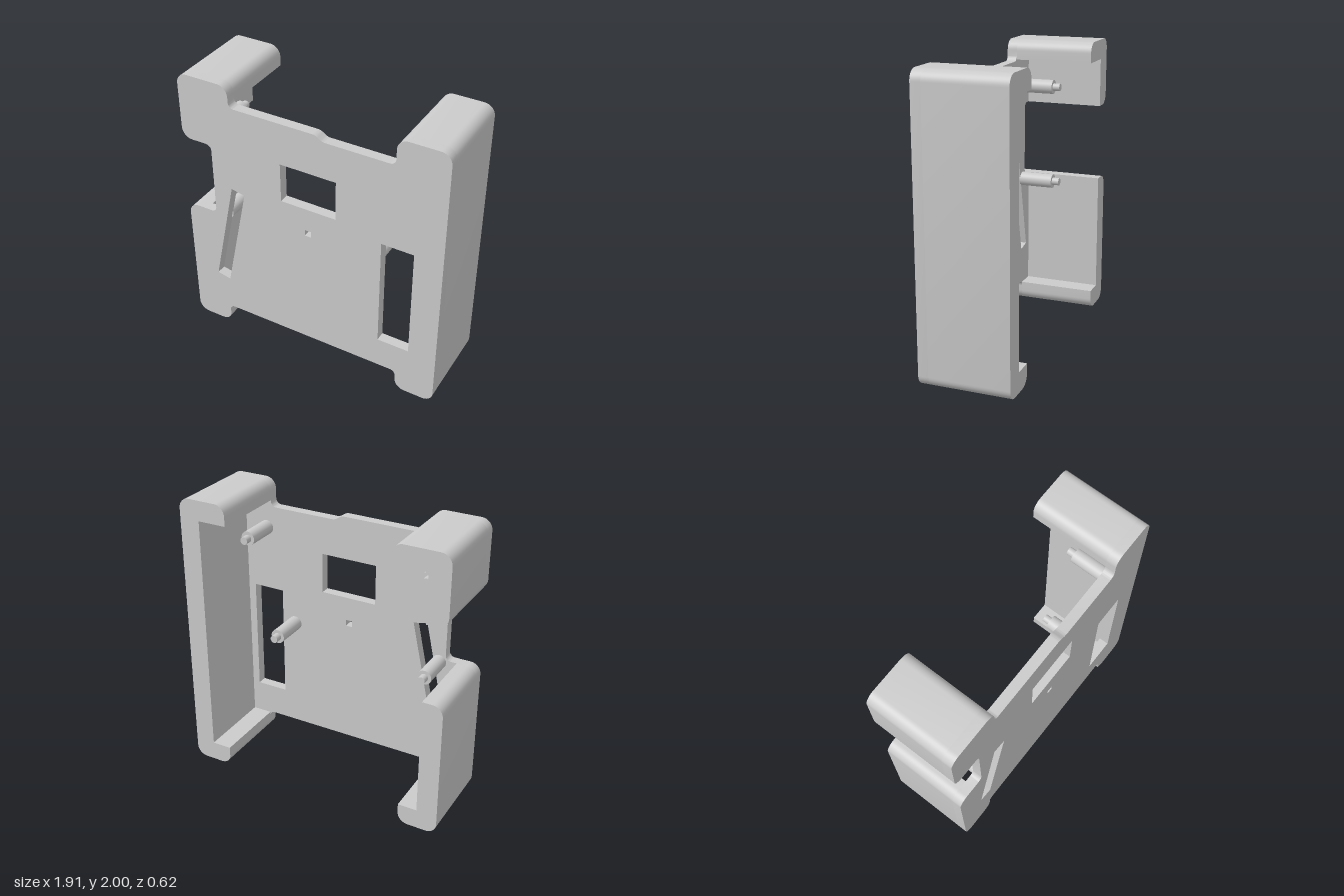
import * as THREE from 'three';
import { toCreasedNormals } from 'three/addons/utils/BufferGeometryUtils.js';

const material = new THREE.MeshStandardMaterial({ color: 0xcccccc });
const BACK = -0.31, PLATE = 0.24, FRONT = 0.31;

// Closed outline from [x, y, cornerRadius] points
function roundedPath(points, PathType = THREE.Shape) {
  const path = new PathType();
  const n = points.length;
  const k = 0.4477; // control point offset for a circular corner
  points.forEach(([x, y, r = 0], i) => {
    const p = new THREE.Vector2(x, y);
    const towards = (j) => new THREE.Vector2(points[j][0], points[j][1]).sub(p).normalize();
    const a = towards((i + n - 1) % n), b = towards((i + 1) % n);
    const start = p.clone().addScaledVector(a, r), end = p.clone().addScaledVector(b, r);
    if (i === 0) path.moveTo(start.x, start.y);
    else path.lineTo(start.x, start.y);
    if (r > 0) {
      const c1 = p.clone().addScaledVector(a, r * k), c2 = p.clone().addScaledVector(b, r * k);
      path.bezierCurveTo(c1.x, c1.y, c2.x, c2.y, end.x, end.y);
    }
  });
  path.closePath();
  return path;
}

function extrude(name, shape, z0, z1) {
  const geometry = new THREE.ExtrudeGeometry(shape, { depth: z1 - z0, bevelEnabled: false, curveSegments: 10 });
  geometry.translate(0, 0, z0);
  const mesh = new THREE.Mesh(toCreasedNormals(geometry, 0.5), material);
  mesh.name = name;
  return mesh;
}

// Mounting post: thick body with a thin locating pin
function post(name, x, y) {
  const group = new THREE.Group();
  group.name = name;
  for (const [part, r, z0, z1] of [['postBody', 0.05, 0, PLATE + 0.005], ['postPin', 0.027, -0.05, 0.01]]) {
    const geometry = new THREE.CylinderGeometry(r, r, z1 - z0, 32).rotateX(Math.PI / 2);
    const mesh = new THREE.Mesh(geometry, material);
    mesh.name = part;
    mesh.position.set(x, y, (z0 + z1) / 2);
    group.add(mesh);
  }
  return group;
}

export function createModel() {
  const model = new THREE.Group();
  model.name = 'mountingCase';
  const R = 0.075, F = 0.04; // outer corner and inner fillet radii

  // Front plate with its cut-outs
  const plate = roundedPath([
    [-0.955, 0, R], [-0.675, 0, R], [-0.675, 0.15, F], [0.67, 0.15, F], [0.67, 0, R], [0.955, 0, R],
    [0.955, 2, R], [0.607, 2, R], [0.607, 1.815, F], [0.11, 1.815, 0.02], [0.06, 1.85, 0.02],
    [-0.57, 1.85, F], [-0.57, 2, R], [-0.955, 2, R], [-0.955, 1.52, R], [-0.73, 1.52, F],
    [-0.73, 0.98, F], [-0.955, 0.98, R],
  ]);
  const rect = (x0, y0, x1, y1) => [[x0, y0], [x0, y1], [x1, y1], [x1, y0]];
  const cutouts = [
    rect(-0.2, 1.265, 0.205, 1.55),
    rect(-0.025, 1.05, 0.022, 1.095),
    rect(0.53, 0.38, 0.757, 1.2),
    [[-0.76, 0.43], [-0.588, 1.222], [-0.488, 1.203], [-0.66, 0.41]],
  ];
  cutouts.forEach((c) => plate.holes.push(roundedPath(c, THREE.Path)));
  model.add(extrude('frontPlate', plate, PLATE, FRONT));

  // Side walls with lips wrapping over the top and bottom
  const IN = 0.81, LOW = 0.14, HIGH = 1.86;
  const walls = {
    leftWall: [
      [0.955, 0, R], [0.955, 2, R], [0.607, 2, R], [0.607, HIGH], [IN, HIGH],
      [IN, LOW], [0.67, LOW], [0.67, 0, R],
    ],
    rightUpperWall: [
      [-0.57, HIGH], [-0.57, 2, R], [-0.955, 2, R], [-0.955, 1.52, R], [-IN, 1.52], [-IN, HIGH],
    ],
    rightLowerWall: [
      [-0.955, 0.98, R], [-0.955, 0, R], [-0.675, 0, R], [-0.675, LOW], [-IN, LOW], [-IN, 0.98],
    ],
  };
  for (const [name, points] of Object.entries(walls)) {
    model.add(extrude(name, roundedPath(points), BACK, PLATE));
  }

  // Posts on the back of the plate
  model.add(
    post('leftUpperPost', 0.645, 1.66),
    post('leftLowerPost', 0.43, 0.97),
    post('rightUpperPost', -0.685, 1.66),
    post('rightLowerPost', -0.685, 0.96),
  );
  return model;
}
